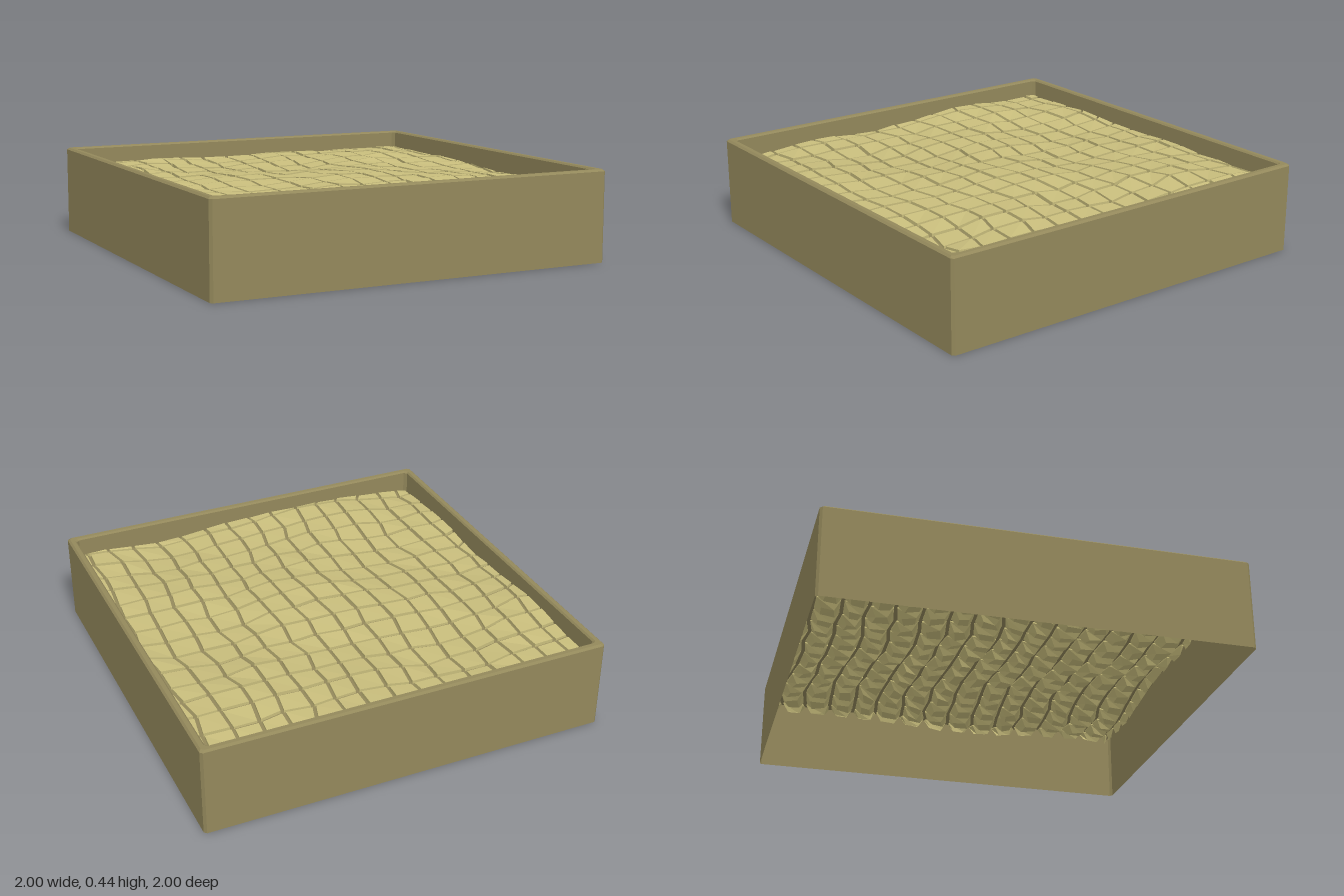
import * as THREE from 'three';

const HALF = 0.965, STEP = 0.13, N = 8; // inner half width, paving pitch, lines each side of centre

// small repeatable noise in -1..1
const noise = (i, j, k) => {
  const s = Math.sin(i * 127.1 + j * 311.7 + k * 74.7) * 43758.5453;
  return 2 * (s - Math.floor(s)) - 1;
};

// rolling level of the paving
const level = (x, z) => 0.355 + 0.011 * Math.sin(4.1 * x + 2.2 * z + 0.6)
  + 0.009 * Math.sin(6.3 * z - 3.4 * x + 1.1) + 0.005 * Math.sin(9 * x + 7 * z);

// crossing of grid lines i and j, bent and jittered; the outermost lines lie on the frame
function crossing(i, j) {
  const u = i * STEP, v = j * STEP;
  const x = u + 0.01 + 0.016 * Math.sin(5 * v + 2 * u) + 0.012 * noise(i, j, 1);
  const z = v + 0.018 * Math.sin(5.5 * u + 1.5 * v + 2) + 0.012 * noise(i, j, 2);
  const edge = (n, value) => Math.abs(n) === N ? Math.sign(n) * HALF : value;
  const px = edge(i, x), pz = edge(j, z);
  return new THREE.Vector3(px, level(px, pz) + 0.005 * noise(i, j, 3), pz);
}

function makeGeometry(quads) {
  const points = [];
  for (const [a, b, c, d] of quads) points.push(a, b, c, a, c, d);
  const geometry = new THREE.BufferGeometry().setFromPoints(points);
  geometry.computeVertexNormals();
  return geometry;
}

function makeMesh(name, quads, color) {
  const material = new THREE.MeshStandardMaterial({ color, flatShading: true, side: THREE.DoubleSide });
  const mesh = new THREE.Mesh(makeGeometry(quads), material);
  mesh.name = name;
  return mesh;
}

// square ring with cut corners
function ring(half, cut, y) {
  const k = half - cut;
  return [[half, -k], [half, k], [k, half], [-k, half], [-half, k], [-half, -k], [-k, -half], [k, -half]]
    .map(([x, z]) => new THREE.Vector3(x, y, z));
}

// four walls, rim and inner lip, lofted from rings; open underneath
function frameQuads() {
  const rings = [ring(1, 0.012, 0), ring(1, 0.012, 0.435), ring(0.99, 0.012, 0.444),
    ring(0.97, 0.015, 0.444), ring(0.962, 0.015, 0.436), ring(0.962, 0.015, 0.32)];
  const quads = [];
  for (let r = 0; r < rings.length - 1; r++) {
    for (let j = 0; j < 8; j++) {
      const n = (j + 1) % 8;
      quads.push([rings[r][j], rings[r + 1][j], rings[r + 1][n], rings[r][n]]);
    }
  }
  return quads;
}

export function createModel() {
  const group = new THREE.Group();
  group.name = 'pavingPanel';
  const stones = [], grout = [];

  for (let i = -N; i < N; i++) {
    for (let j = -N; j < N; j++) {
      const cell = [crossing(i, j), crossing(i, j + 1), crossing(i + 1, j + 1), crossing(i + 1, j)];
      const centre = cell.reduce((sum, p) => sum.add(p), new THREE.Vector3()).multiplyScalar(0.25);

      // sunken bed under the joints
      grout.push(cell.map((p) => p.clone().setY(p.y - 0.014)));

      // stone: inset top, short sides, tapering underside
      const lift = 0.003 * noise(i, j, 4);
      const shrink = (p, inset, down) => new THREE.Vector3(
        p.x - Math.sign(p.x - centre.x) * Math.min(inset, Math.abs(p.x - centre.x)),
        p.y + lift - down,
        p.z - Math.sign(p.z - centre.z) * Math.min(inset, Math.abs(p.z - centre.z)));
      const layers = [[0.009, 0], [0.009, 0.02], [0.035, 0.06]]
        .map(([inset, down]) => cell.map((p) => shrink(p, inset, down)));
      stones.push(layers[0], [...layers[2]].reverse());
      for (let l = 0; l < 2; l++) {
        for (let k = 0; k < 4; k++) {
          const n = (k + 1) % 4;
          stones.push([layers[l][k], layers[l + 1][k], layers[l + 1][n], layers[l][n]]);
        }
      }
    }
  }

  group.add(
    makeMesh('frame', frameQuads(), 0x93885b),
    makeMesh('grout', grout, 0x93885b),
    makeMesh('pavingStones', stones, 0xc8bd7c),
  );
  return group;
}
